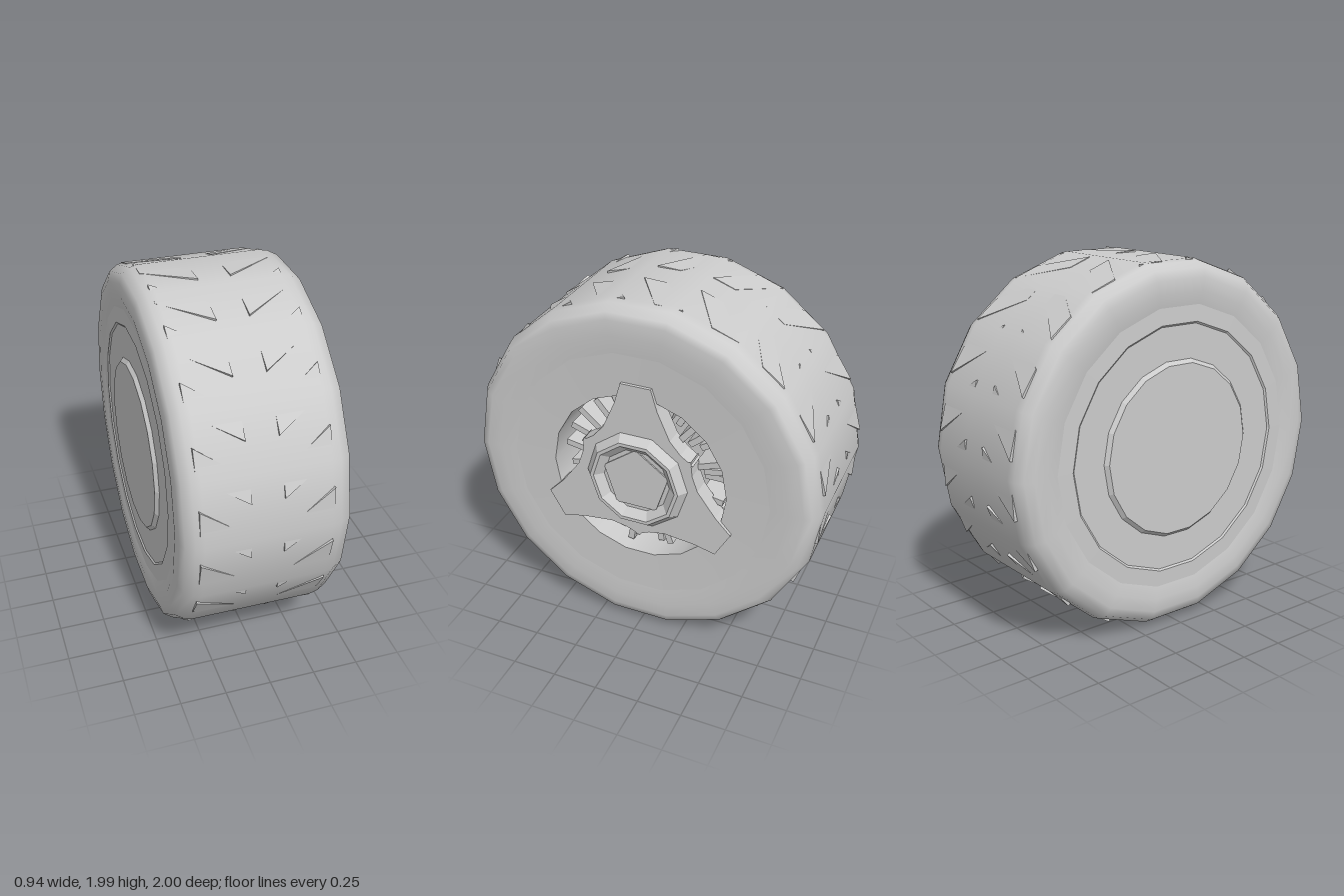
import * as THREE from 'three';

const grey = new THREE.MeshStandardMaterial({ color: 0xcccccc });
grey.name = 'plainGrey';

// Surface of revolution about the axle; points are [radius, x], back to front
function turned(name, points, sides, flat = false) {
  let geo = new THREE.LatheGeometry(points.map(([r, x]) => new THREE.Vector2(r, x)), sides);
  if (flat) {
    geo = geo.toNonIndexed();
    geo.computeVertexNormals();
  }
  geo.rotateZ(-Math.PI / 2);
  const mesh = new THREE.Mesh(geo, grey);
  mesh.name = name;
  return mesh;
}

export function createModel() {
  const wheel = new THREE.Group();
  wheel.name = 'wheel';
  wheel.position.y = 0.993;

  // Tyre with rounded shoulders
  wheel.add(turned('tyre', [
    [0.77, -0.455], [0.84, -0.468], [0.91, -0.465], [0.96, -0.45], [0.99, -0.405], [1, -0.36],
    [1, -0.1], [1, 0.05], [1, 0.3], [0.99, 0.35], [0.96, 0.405], [0.92, 0.415], [0.84, 0.42], [0.74, 0.412],
  ], 18));

  // Inner face: shallow ring and raised centre disc
  wheel.add(turned('backRing', [[0.47, -0.45], [0.67, -0.45], [0.68, -0.458], [0.77, -0.455]], 18, true));
  wheel.add(turned('backDisc', [[0, -0.47], [0.465, -0.47], [0.485, -0.45]], 18, true));

  // Outer face with its central opening and the recess behind
  wheel.add(turned('rimFace', [[0.74, 0.412], [0.5, 0.405]], 18));
  wheel.add(turned('rimBarrel', [[0.5, 0.405], [0.5, 0.1]], 18));
  wheel.add(turned('rimFloor', [[0.5, 0.1], [0, 0.1]], 18));

  // Radial cooling fins in the recess
  const fins = new THREE.Group();
  fins.name = 'brakeFins';
  const finCount = 36;
  for (let i = 0; i < finCount; i++) {
    const depth = 0.14 + 0.05 * (i % 3);
    const fin = new THREE.Mesh(new THREE.BoxGeometry(depth, 0.13 + 0.03 * (i % 2), 0.035), grey);
    fin.name = 'brakeFin';
    const a = (i / finCount) * Math.PI * 2;
    fin.position.set(0.1 + depth / 2, 0.4 * Math.cos(a), 0.4 * Math.sin(a));
    fin.rotation.x = a;
    fins.add(fin);
  }
  wheel.add(fins);

  // Three-armed spider, widening towards the hub
  const outline = [];
  const arm = [[0.32, 0.17], [0.25, 0.22], [0.19, 0.29], [0.12, 0.45], [0.085, 0.57]];
  const fullArm = [...arm, ...arm.map(([x, y]) => [-x, y]).reverse()];
  for (let k = 0; k < 3; k++) {
    const a = (-k * Math.PI * 2) / 3;
    for (const [x, y] of [...fullArm].reverse()) {
      outline.push(new THREE.Vector2(x, y).rotateAround(new THREE.Vector2(), a));
    }
  }
  const spiderGeo = new THREE.ExtrudeGeometry(new THREE.Shape(outline), { depth: 0.105, bevelEnabled: false });
  spiderGeo.rotateY(Math.PI / 2);
  const spider = new THREE.Mesh(spiderGeo, grey);
  spider.name = 'spokes';
  spider.position.x = 0.32;
  wheel.add(spider);

  // Hub collar and five-sided cap
  wheel.add(turned('hubCollar', [[0.295, 0.42], [0.255, 0.472], [0.235, 0.472], [0.19, 0.43], [0, 0.43]], 10, true));
  const cap = new THREE.Mesh(new THREE.CylinderGeometry(0.195, 0.195, 0.04, 5), grey);
  cap.name = 'hubCap';
  cap.geometry.rotateY(-Math.PI / 2);
  cap.geometry.rotateZ(-Math.PI / 2);
  cap.position.x = 0.418;
  wheel.add(cap);

  // Shallow chevron tread bars that break through the flats of the tyre
  const tread = new THREE.Group();
  tread.name = 'tread';
  const barCount = 20;
  const barGeos = [-1, 1].map((s) => new THREE.ExtrudeGeometry(new THREE.Shape(
    [[0.085, -0.16], [0.345, 0.01], [0.345, 0.16], [0.085, -0.03]].map(([x, y]) => new THREE.Vector2(s * x - 0.035, y)),
  ), { depth: 0.03, bevelEnabled: false }));
  for (let i = 0; i < barCount; i++) {
    const pivot = new THREE.Group();
    pivot.name = 'treadChevron';
    pivot.rotation.x = -(i / barCount) * Math.PI * 2 - 0.05;
    for (const geo of barGeos) {
      const bar = new THREE.Mesh(geo, grey);
      bar.name = 'treadBar';
      bar.position.z = 0.957;
      pivot.add(bar);
    }
    tread.add(pivot);
  }
  wheel.add(tread);

  const model = new THREE.Group();
  model.name = 'roadWheel';
  model.add(wheel);
  return model;
}
